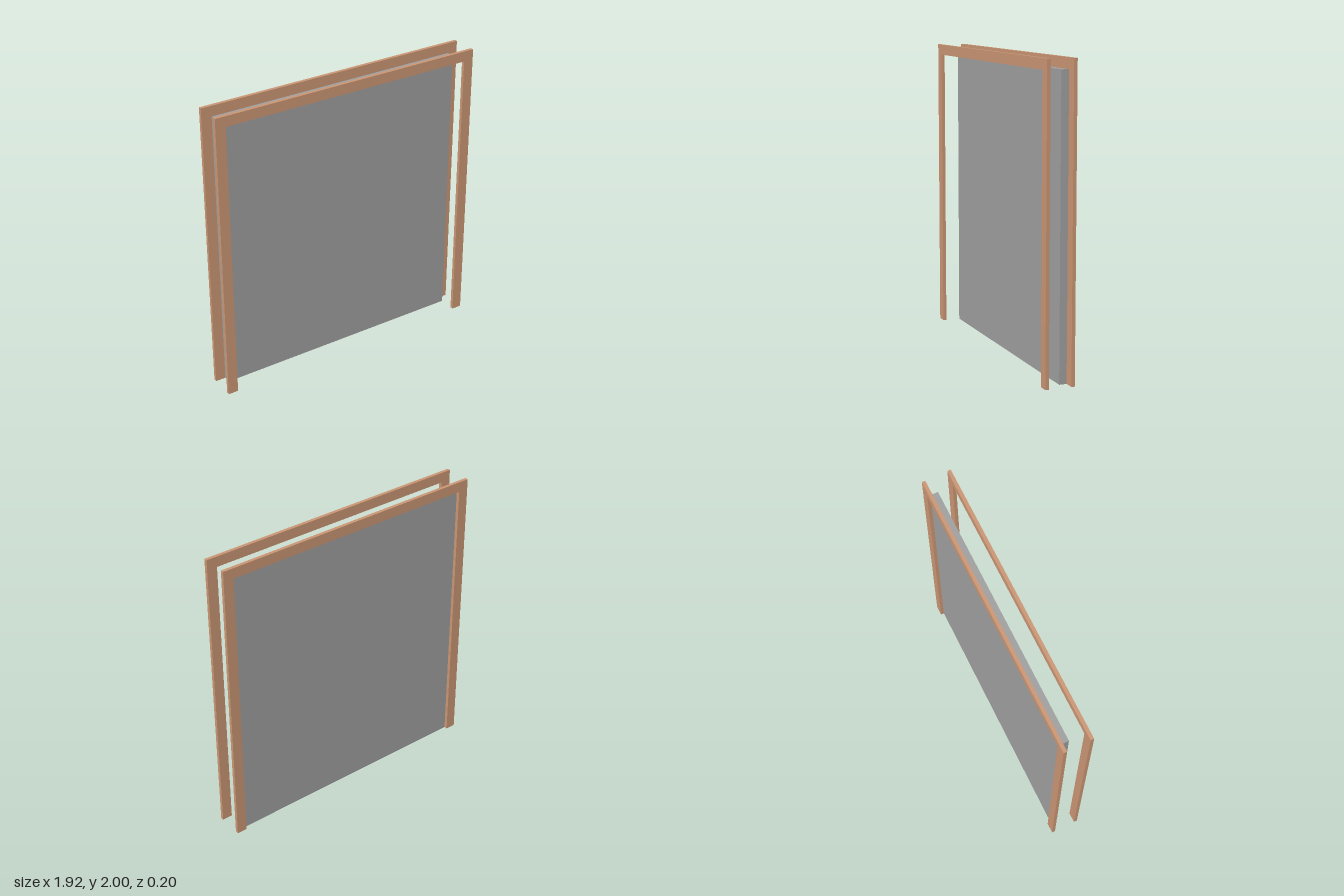
import * as THREE from 'three';

const HALF_WIDTH = 0.96, HEIGHT = 2, TRIM = 0.07;
const TRIM_DEPTH = 0.023, FACE_Z = 0.098, PANEL_FRONT = -0.025;

export function createModel() {
  const model = new THREE.Group();
  model.name = 'doorway';
  const wood = new THREE.MeshStandardMaterial({ color: 0xc89472 });
  const grey = new THREE.MeshStandardMaterial({ color: 0x9d9d9d });
  const openHalf = HALF_WIDTH - TRIM, openTop = HEIGHT - TRIM;

  // Door casing: two legs and a head, open at the floor
  const outline = new THREE.Shape([
    [-HALF_WIDTH, 0], [-openHalf, 0], [-openHalf, openTop], [openHalf, openTop],
    [openHalf, 0], [HALF_WIDTH, 0], [HALF_WIDTH, HEIGHT], [-HALF_WIDTH, HEIGHT],
  ].map(([x, y]) => new THREE.Vector2(x, y)));
  const casing = new THREE.ExtrudeGeometry(outline, { depth: TRIM_DEPTH, bevelEnabled: false });

  // One casing on each side of the wall
  for (const [name, z] of [['frontCasing', FACE_Z - TRIM_DEPTH], ['backCasing', -FACE_Z]]) {
    const mesh = new THREE.Mesh(casing, wood);
    mesh.name = name;
    mesh.position.z = z;
    model.add(mesh);
  }

  // Door panel, set against the inside of the back casing
  const panelBack = -FACE_Z + TRIM_DEPTH;
  const panel = new THREE.Mesh(
    new THREE.BoxGeometry(openHalf * 2, openTop, PANEL_FRONT - panelBack), grey);
  panel.name = 'doorPanel';
  panel.position.set(0, openTop / 2, (PANEL_FRONT + panelBack) / 2);
  model.add(panel);

  return model;
}
